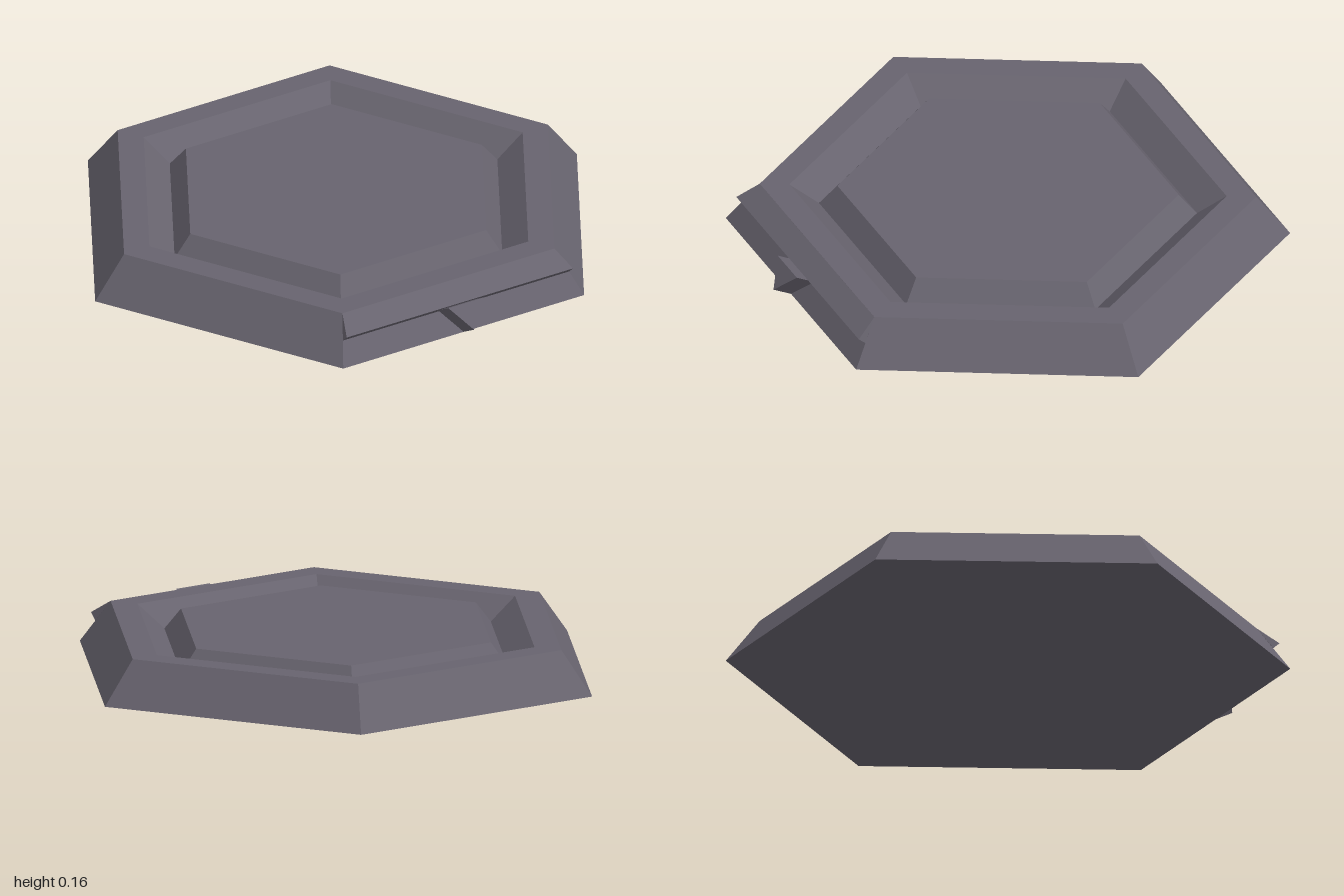
import * as THREE from 'three';

const material = new THREE.MeshStandardMaterial({ color: 0x67636e, flatShading: true });

function flatMesh(name, geometry) {
  const g = geometry.index ? geometry.toNonIndexed() : geometry;
  g.computeVertexNormals();
  const mesh = new THREE.Mesh(g, material);
  mesh.name = name;
  return mesh;
}

// Solid between two triangles; a is counter-clockwise seen from outside.
function triPrism(a, b) {
  const v = [...a, ...[b[0], b[2], b[1]]];
  for (let i = 0; i < 3; i++) {
    const j = (i + 1) % 3;
    v.push(a[i], b[i], b[j], a[i], b[j], a[j]);
  }
  const g = new THREE.BufferGeometry();
  g.setAttribute('position', new THREE.Float32BufferAttribute(v.flat(), 3));
  return g;
}

export function createModel() {
  const model = new THREE.Group();
  model.name = 'hexagonalTray';

  // Six-sided body: sloped outside, flat rim, V-shaped groove, raised centre
  const top = 0.157;
  const profile = [[0, 0], [1, 0], [0.88, top], [0.775, top], [0.67, 0.078], [0.605, top], [0, top]]
    .map(([r, y]) => new THREE.Vector2(r, y));
  model.add(flatMesh('body', new THREE.LatheGeometry(profile, 6)));

  // Lip and catch on one side; local z points out of that side
  const side = new THREE.Group();
  side.name = 'clasp';
  side.rotation.y = Math.PI / 6;
  model.add(side);

  // Overhanging lip, narrower along its top edge
  const lipEnd = s => [[s * 0.44, top, 0.762], [s * 0.47, 0.08, 0.814], [s * 0.47, 0.105, 0.84]];
  side.add(flatMesh('lip', triPrism(lipEnd(-1), lipEnd(1))));

  // Downward triangular catch, standing square to the sloped side
  const catchInner = [[-0.073, 0.083, 0.811], [0, 0, 0.866], [0.073, 0.083, 0.811]];
  const catchOuter = catchInner.map(([x, y, z]) => [x, y + 0.043, z + 0.07]);
  side.add(flatMesh('catch', triPrism(catchOuter, catchInner)));

  return model;
}
